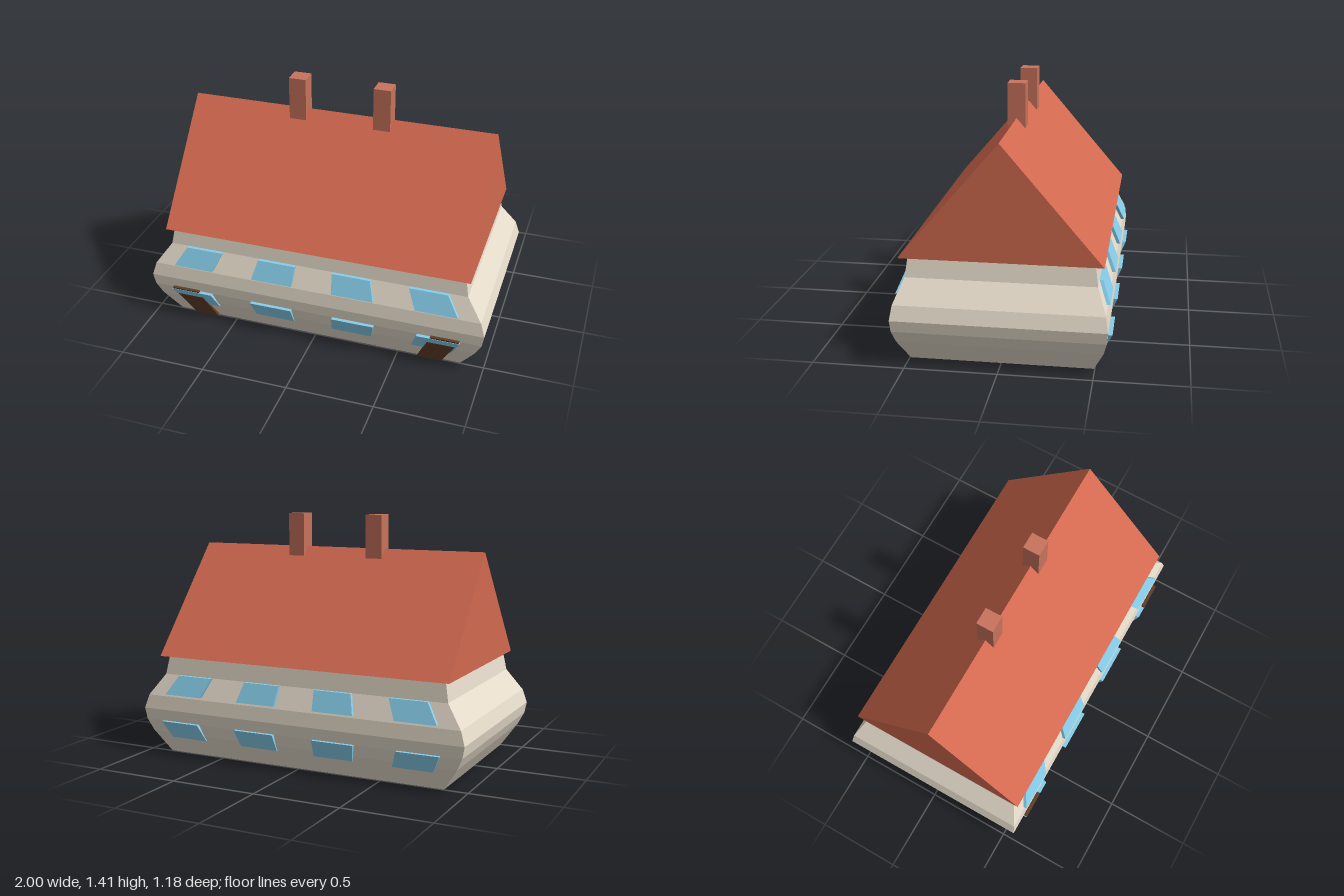
import * as THREE from 'three';

const material = (color) => new THREE.MeshStandardMaterial({ color, flatShading: true });
const wall = material(0xe6dccb);
const tiles = material(0xd2694f);
const brick = material(0xc8735c);
const glass = material(0x87ceeb);
const wood = material(0x5f3d26);

// Wall profile from the ground up: [height, half width, half depth]
const profile = [
  [0, 0.865, 0.495], [0.13, 0.953, 0.55], [0.2, 0.988, 0.567], [0.265, 1, 0.572],
  [0.345, 0.975, 0.56], [0.47, 0.885, 0.51], [0.58, 0.865, 0.495],
];

// Half width of the wall at a height
function halfWidth(y) {
  let i = 1;
  while (i < profile.length - 1 && profile[i][0] < y) i++;
  const [y0, w0] = profile[i - 1];
  const [y1, w1] = profile[i];
  return THREE.MathUtils.mapLinear(y, y0, y1, w0, w1);
}

// Moves every corner of a geometry by a rule
function reshape(geometry, rule) {
  const p = geometry.attributes.position;
  for (let i = 0; i < p.count; i++) p.setXYZ(i, ...rule(p.getX(i), p.getY(i), p.getZ(i)));
  geometry.computeVertexNormals();
  return geometry;
}

function add(parent, name, geometry, mat) {
  const mesh = new THREE.Mesh(geometry, mat);
  mesh.name = name;
  parent.add(mesh);
  return mesh;
}

// Leaning panel that follows the bulge; u0..u1 are fractions of the wall's half width
function panel(u0, u1, y0, y1, z0, z1, thickness) {
  return reshape(new THREE.BoxGeometry(1, 1, 1), (x, y, z) => {
    const t = y + 0.5;
    const h = THREE.MathUtils.lerp(y0, y1, t);
    const u = THREE.MathUtils.lerp(u0, u1, x + 0.5);
    return [u * halfWidth(h), h, THREE.MathUtils.lerp(z0, z1, t) + (z - 0.5) * thickness];
  });
}

export function createModel() {
  const house = new THREE.Group();
  house.name = 'house';

  // Bulging walls: a stack of rectangles
  const bands = profile.length - 1;
  add(house, 'walls', reshape(new THREE.BoxGeometry(1, 1, 1, 1, bands, 1), (x, y, z) => {
    const [h, w, d] = profile[Math.round((y + 0.5) * bands)];
    return [Math.sign(x) * w, h, Math.sign(z) * d];
  }), wall);

  // Gable roof
  const gable = new THREE.Shape([
    new THREE.Vector2(-0.542, 0.58), new THREE.Vector2(0.542, 0.58), new THREE.Vector2(0, 1.215),
  ]);
  const roof = new THREE.ExtrudeGeometry(gable, { depth: 1.8, bevelEnabled: false });
  roof.translate(0, 0, -0.9).rotateY(Math.PI / 2);
  add(house, 'roof', roof, tiles);

  // Chimneys on the ridge
  for (const x of [-0.25, 0.25]) {
    add(house, 'chimney', new THREE.BoxGeometry(0.1, 0.25, 0.1), brick).position.set(x, 1.285, 0);
  }

  // Two rows of four windows on the front and the back
  for (const side of ['front', 'back']) {
    const windows = new THREE.Group();
    windows.name = side + 'Windows';
    if (side === 'back') windows.rotation.y = Math.PI;
    for (const [u0, u1] of [[-0.88, -0.63], [-0.378, -0.125], [0.125, 0.378], [0.63, 0.88]]) {
      add(windows, 'upperWindow', panel(u0, u1, 0.36, 0.47, 0.574, 0.53, 0.024), glass);
      add(windows, 'lowerWindow', panel(u0, u1, 0.1, 0.2, 0.545, 0.589, 0.022), glass);
    }
    house.add(windows);
  }

  // Front doors at both ends
  for (const [u0, u1] of [[-0.876, -0.711], [0.711, 0.876]]) {
    add(house, 'door', panel(u0, u1, 0, 0.21, 0.512, 0.59, 0.02), wood);
  }

  return house;
}
